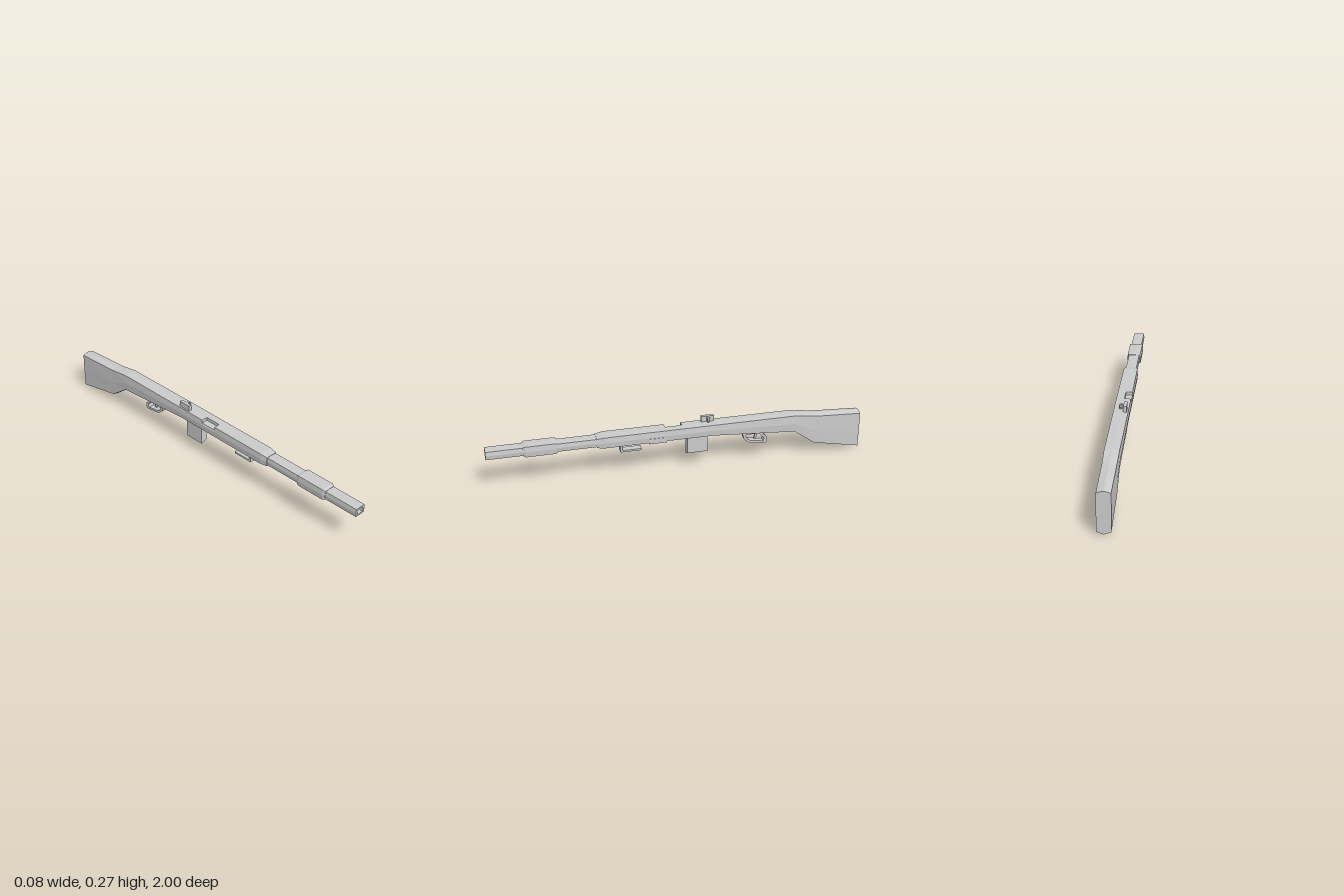
import * as THREE from 'three';

const material = new THREE.MeshStandardMaterial({ color: 0xcccccc, flatShading: true, side: THREE.DoubleSide });

// Ten-point cross-section: bulged sides, ridged top and bottom, optional cut in the right top corner
function section({ w, t, b, rt = 0.001, rb = 0.002, bulge = 0.003, cut = 0 }) {
  const mid = (t + b) / 2, xn = -0.004;
  return [
    [w, b], [w + bulge, mid], [w, t], [0, t + rt], [xn, t + rt],
    [xn, t + rt - cut], [-w, t - cut], [-w - bulge, mid], [-w, b], [0, b - rb],
  ];
}

// Skin a list of stations, front caps facing +z
function loft(stations) {
  const rings = stations.map(s => section(s).map(([x, y]) => new THREE.Vector3(x, y, s.z)));
  const pos = [];
  const tri = (a, b, c) => {
    const n = b.clone().sub(a).cross(c.clone().sub(a));
    if (n.length() > 1e-10) for (const p of [a, b, c]) pos.push(p.x, p.y, p.z);
  };
  const n = rings[0].length;
  for (let i = 0; i < rings.length - 1; i++) {
    for (let j = 0; j < n; j++) {
      const k = (j + 1) % n, r = rings[i], q = rings[i + 1];
      tri(r[j], r[k], q[k]);
      tri(r[j], q[k], q[j]);
    }
  }
  const cap = (ring, flip) => {
    const c = ring.reduce((s, p) => s.add(p), new THREE.Vector3()).divideScalar(n);
    ring.forEach((p, j) => {
      const q = ring[(j + 1) % n];
      if (flip) tri(c, q, p); else tri(c, p, q);
    });
  };
  cap(rings[0], true);
  cap(rings[rings.length - 1], false);
  const g = new THREE.BufferGeometry();
  g.setAttribute('position', new THREE.Float32BufferAttribute(pos, 3));
  g.computeVertexNormals();
  return g;
}

const toPoints = list => list.map(([a, b]) => new THREE.Vector2(a, b));

// Extrude a side outline of [z, y] points across x, centred
function sidePlate(outline, width, hole) {
  const shape = new THREE.Shape(toPoints(outline));
  if (hole) shape.holes.push(new THREE.Path(toPoints(hole)));
  const g = new THREE.ExtrudeGeometry(shape, { depth: width, bevelEnabled: false });
  return g.translate(0, 0, -width / 2).rotateY(-Math.PI / 2);
}

// Box given by its limits
function box(x0, x1, y0, y1, z0, z1) {
  return new THREE.BoxGeometry(x1 - x0, y1 - y0, z1 - z0)
    .translate((x0 + x1) / 2, (y0 + y1) / 2, (z0 + z1) / 2);
}

export function createModel() {
  const model = new THREE.Group();
  const add = (name, geometry, parent = model) => {
    const mesh = new THREE.Mesh(geometry, material);
    mesh.name = name;
    parent.add(mesh);
    return mesh;
  };

  // Stock and fore-end in one piece, with the loading port cut in the top
  const body = { w: 0.038, t: 0.243, b: 0.183 };
  add('stock', loft([
    { z: -1, w: 0.034, t: 0.211, b: 0.014, rt: 0.009, rb: 0.012, bulge: 0.001 },
    { z: -0.745, w: 0.035, t: 0.225, b: 0.066, rt: 0.006, rb: 0.008, bulge: 0.002 },
    { z: -0.63, w: 0.037, t: 0.242, b: 0.149, rt: 0.002, rb: 0.004 },
    { z: -0.18, ...body },
    { z: -0.02, ...body },
    { z: -0.02, ...body, cut: 0.018 },
    { z: 0.07, ...body, cut: 0.018 },
    { z: 0.07, ...body },
    { z: 0.395, ...body },
    { z: 0.435, w: 0.033, t: 0.237, b: 0.187 },
  ]));

  // Hollow barrel: outer skin, then back into the bore
  const tube = { w: 0.029, t: 0.235, b: 0.191 };
  const bore = { w: 0.019, t: 0.225, b: 0.198, rb: 0.001, bulge: 0.002 };
  add('barrel', loft([
    { z: 0.4, ...tube }, { z: 1, ...tube }, { z: 1, ...bore }, { z: 0.9, ...bore },
  ]));

  // Sleeve with chamfered ends
  const sleeve = { w: 0.036, t: 0.242, b: 0.184 };
  const rim = { w: 0.031, t: 0.237, b: 0.189 };
  add('barrelSleeve', loft([
    { z: 0.635, ...rim }, { z: 0.645, ...sleeve }, { z: 0.8, ...sleeve }, { z: 0.812, ...rim },
  ]));

  // Magazine, its underside slanting down to the right
  const magazine = box(-0.019, 0.018, 0.078, 0.2, -0.155, -0.045);
  const p = magazine.attributes.position;
  for (let i = 0; i < p.count; i++) {
    if (p.getY(i) < 0.1) p.setY(i, p.getX(i) < 0 ? 0.071 : 0.085);
  }
  magazine.computeVertexNormals();
  add('magazine', magazine);

  // L-shaped lug under the fore-end
  add('foreEndLug', sidePlate(
    [[0.312, 0.19], [0.3, 0.19], [0.3, 0.147], [0.2, 0.147], [0.2, 0.137], [0.312, 0.137]], 0.037));

  // Trigger guard and trigger
  const triggerGroup = new THREE.Group();
  triggerGroup.name = 'triggerGroup';
  model.add(triggerGroup);
  add('triggerGuard', sidePlate(
    [[-0.34, 0.175], [-0.358, 0.123], [-0.385, 0.102], [-0.472, 0.09], [-0.483, 0.098],
      [-0.483, 0.124], [-0.45, 0.16], [-0.45, 0.175]], 0.034,
    [[-0.364, 0.152], [-0.373, 0.127], [-0.393, 0.114], [-0.462, 0.104], [-0.468, 0.12], [-0.438, 0.152]]),
  triggerGroup);
  add('trigger', sidePlate(
    [[-0.408, 0.17], [-0.418, 0.14], [-0.414, 0.117], [-0.422, 0.117], [-0.432, 0.14], [-0.432, 0.17]], 0.01),
  triggerGroup);

  // Operating handle on the left side
  add('operatingHandle', box(0.025, 0.042, 0.178, 0.207, 0.07, 0.163));

  // Rear sight: side block carrying a pierced plate
  const sight = new THREE.Group();
  sight.name = 'rearSight';
  model.add(sight);
  add('sightBlock', box(-0.03, -0.013, 0.238, 0.275, -0.195, -0.127), sight);
  const plate = new THREE.Shape(toPoints(
    [[-0.015, 0.248], [0.007, 0.248], [0.011, 0.254], [0.011, 0.268], [0.007, 0.273], [-0.015, 0.273]]));
  plate.holes.push(new THREE.Path(toPoints(
    [[-0.007, 0.253], [-0.003, 0.257], [0.003, 0.257], [0.006, 0.253], [0.006, 0.268], [-0.007, 0.268]])));
  add('sightAperture', new THREE.ExtrudeGeometry(plate, { depth: 0.012, bevelEnabled: false })
    .translate(0, 0, -0.168), sight);

  return model;
}
